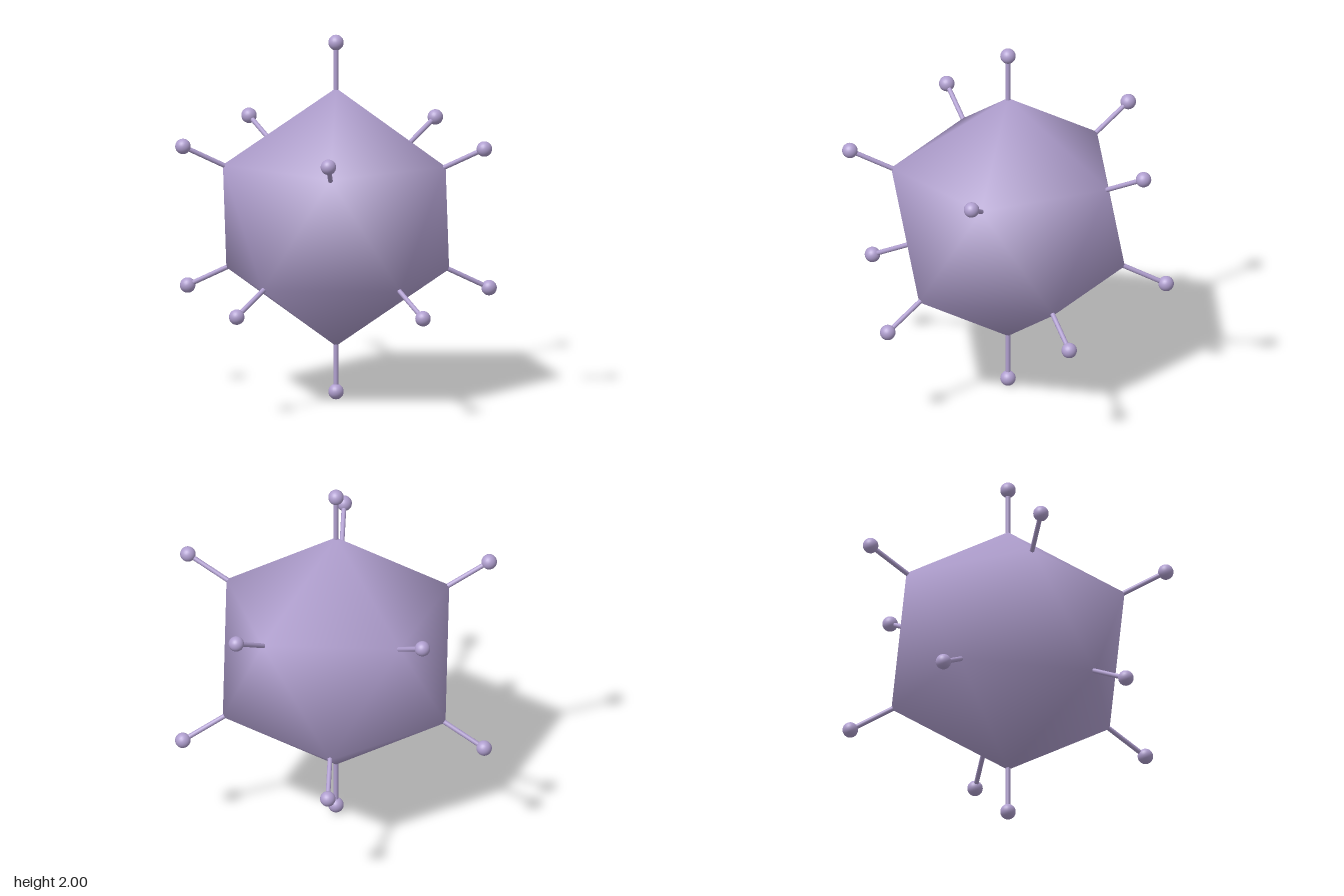
import * as THREE from 'three';

const CENTER_Y = 1, BODY_R = 0.708, TIP = 0.958, BALL_R = 0.042, ROD_R = 0.013;

// Twelve corner directions: two poles and two staggered rings of five
function cornerDirections() {
  const up = 1 / Math.sqrt(5), out = 2 / Math.sqrt(5);
  const dirs = [new THREE.Vector3(0, 1, 0), new THREE.Vector3(0, -1, 0)];
  for (let i = 0; i < 5; i++) {
    const a = i * Math.PI * 2 / 5;
    const upper = new THREE.Vector3(Math.cos(a) * out, up, Math.sin(a) * out);
    dirs.push(upper, upper.clone().negate());
  }
  return dirs;
}

// Twenty-sided body: shared corners, so the normals run smoothly over the edges
function bodyGeometry() {
  const ring = (i, y, turn) => {
    const a = (i + turn) * Math.PI * 2 / 5, out = 2 / Math.sqrt(5);
    return [Math.cos(a) * out, y, Math.sin(a) * out];
  };
  const h = 1 / Math.sqrt(5), pos = [0, 1, 0, 0, -1, 0], index = [];
  for (let i = 0; i < 5; i++) pos.push(...ring(i, h, 0), ...ring(i, -h, 0.5));
  for (let i = 0; i < 5; i++) {
    const n = (i + 1) % 5;
    const u = 2 + i * 2, u2 = 2 + n * 2, l = u + 1, l2 = u2 + 1;
    index.push(0, u2, u, u, u2, l, u2, l2, l, 1, l, l2);
  }
  const geo = new THREE.BufferGeometry();
  geo.setAttribute('position', new THREE.Float32BufferAttribute(pos, 3));
  geo.setAttribute('normal', new THREE.Float32BufferAttribute(pos, 3));
  geo.setIndex(index);
  geo.scale(BODY_R, BODY_R, BODY_R);
  return geo;
}

export function createModel() {
  const model = new THREE.Group();
  model.name = 'spikedBall';
  const lilac = new THREE.MeshStandardMaterial({ color: 0xb09fcf });
  lilac.name = 'lilac';

  const body = new THREE.Mesh(bodyGeometry(), lilac);
  body.name = 'body';
  body.position.y = CENTER_Y;
  model.add(body);

  // A thin rod with a round knob on every corner
  const start = BODY_R - 0.02;
  const rodGeo = new THREE.CylinderGeometry(ROD_R, ROD_R, TIP - start, 16);
  rodGeo.translate(0, (TIP + start) / 2, 0);
  const knobGeo = new THREE.SphereGeometry(BALL_R, 24, 16);
  knobGeo.translate(0, TIP, 0);
  const yAxis = new THREE.Vector3(0, 1, 0);
  cornerDirections().forEach((dir, i) => {
    const spike = new THREE.Group();
    spike.name = `spike${i + 1}`;
    const rod = new THREE.Mesh(rodGeo, lilac);
    rod.name = 'rod';
    const knob = new THREE.Mesh(knobGeo, lilac);
    knob.name = 'knob';
    spike.add(rod, knob);
    spike.position.y = CENTER_Y;
    spike.quaternion.setFromUnitVectors(yAxis, dir);
    model.add(spike);
  });
  return model;
}
